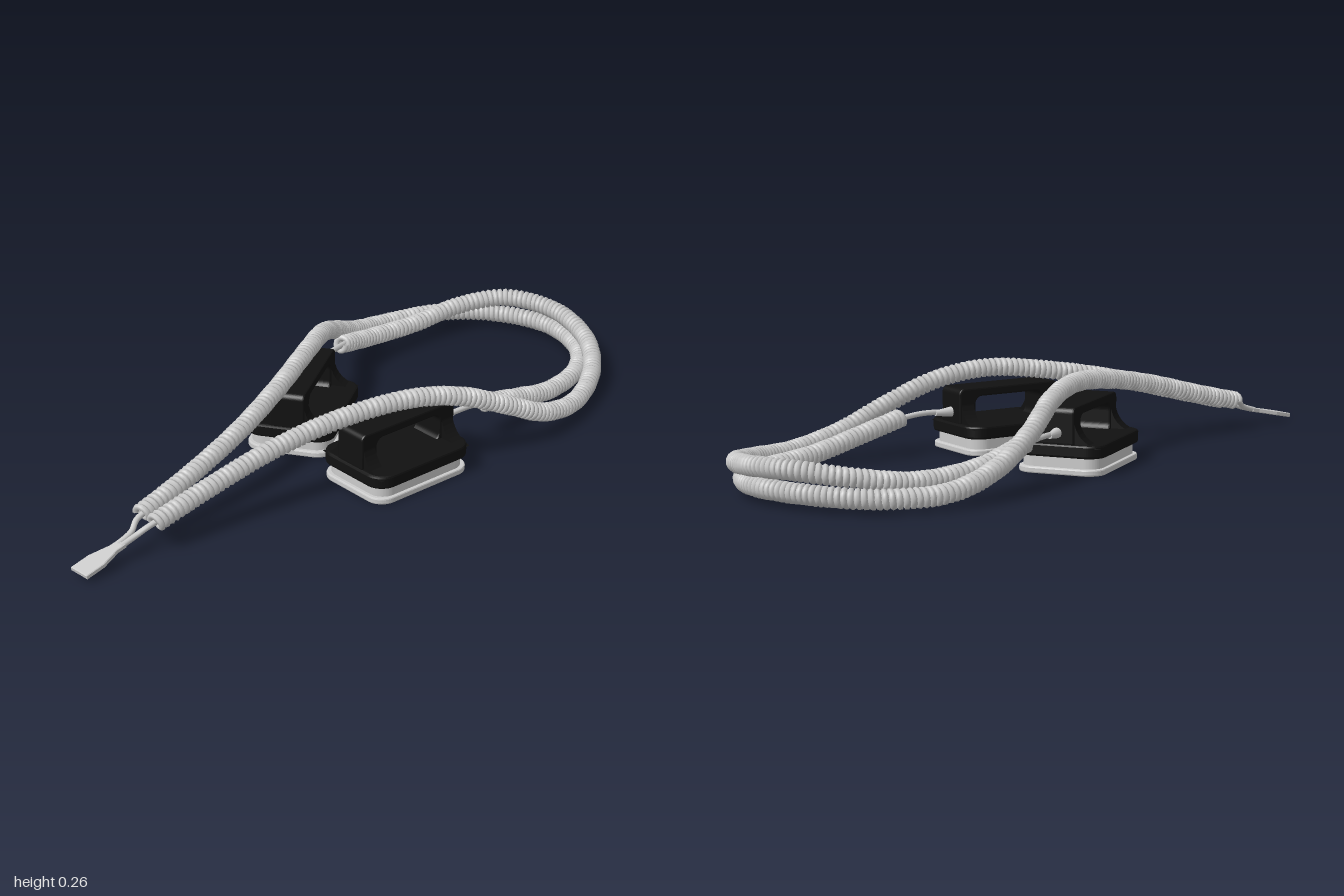
import * as THREE from 'three';

const grey = new THREE.MeshStandardMaterial({ color: 0xcccccc });
const greyThin = new THREE.MeshStandardMaterial({ color: 0xcccccc, side: THREE.DoubleSide });
const black = new THREE.MeshStandardMaterial({ color: 0x111111 });

function add(parent, name, geometry, material) {
  const mesh = new THREE.Mesh(geometry, material);
  mesh.name = name;
  parent.add(mesh);
  return mesh;
}

// Traces a rounded rectangle on a Shape or Path
function roundedRect(path, cx, cy, w, h, r) {
  const x = w / 2 - r, y = h / 2 - r;
  path.absarc(cx + x, cy + y, r, 0, Math.PI / 2);
  path.absarc(cx - x, cy + y, r, Math.PI / 2, Math.PI);
  path.absarc(cx - x, cy - y, r, Math.PI, Math.PI * 1.5);
  path.absarc(cx + x, cy - y, r, Math.PI * 1.5, Math.PI * 2);
  path.closePath();
  return path;
}

// Horizontal slab with rounded plan corners, from y0 to y1
function slab(w, d, r, y0, y1, bevel) {
  const geometry = new THREE.ExtrudeGeometry(
    roundedRect(new THREE.Shape(), 0, 0, w - 2 * bevel, d - 2 * bevel, r),
    { depth: y1 - y0 - 2 * bevel, bevelSize: bevel, bevelThickness: bevel, bevelSegments: 2, curveSegments: 8 });
  return geometry.rotateX(-Math.PI / 2).translate(0, y0 + bevel, 0);
}

function createPaddle(name, x, z, angle) {
  const paddle = new THREE.Group();
  paddle.name = name;
  add(paddle, 'contactPlate', slab(0.34, 0.25, 0.045, 0, 0.018, 0.004), grey);
  add(paddle, 'collar', slab(0.315, 0.23, 0.04, 0.014, 0.056, 0.003), grey);
  add(paddle, 'housing', slab(0.345, 0.255, 0.045, 0.048, 0.085, 0.006), black);

  // Grip: an upright frame with a hand opening
  const frame = roundedRect(new THREE.Shape(), 0, 0.128, 0.326, 0.104, 0.012);
  frame.holes.push(roundedRect(new THREE.Path(), 0, 0.12, 0.24, 0.09, 0.028));
  const grip = new THREE.ExtrudeGeometry(frame, {
    depth: 0.09, bevelSize: 0.005, bevelThickness: 0.005, bevelSegments: 2, curveSegments: 6 });
  add(paddle, 'grip', grip.translate(0, 0, -0.045), black);

  // Flared feet blend the two ends of the grip into the housing
  const flare = new THREE.Shape();
  flare.moveTo(-0.12, 0.075);
  flare.lineTo(0.12, 0.075);
  flare.quadraticCurveTo(0.055, 0.09, 0.048, 0.15);
  flare.lineTo(-0.048, 0.15);
  flare.quadraticCurveTo(-0.055, 0.09, -0.12, 0.075);
  for (const side of [-1, 1]) {
    const foot = new THREE.ExtrudeGeometry(flare, { depth: 0.04, bevelEnabled: false, curveSegments: 8 });
    foot.rotateY(Math.PI / 2).translate(side * 0.142 - 0.02, 0, 0);
    add(paddle, 'gripFoot', foot, black);
  }

  // Tapered strain relief where the cable enters
  const relief = new THREE.CylinderGeometry(0.008, 0.016, 0.06, 12);
  relief.rotateZ(-Math.PI / 2).translate(0.19, 0.115, 0);
  add(paddle, 'strainRelief', relief, grey);

  paddle.position.set(x, 0, z);
  paddle.rotation.y = angle;
  return paddle;
}

// Helix wound around a base curve
class CoilCurve extends THREE.Curve {
  constructor(base, radius, pitch) {
    super();
    base.arcLengthDivisions = 800;
    this.base = base;
    this.radius = radius;
    this.turns = Math.round(base.getLength() / pitch);
    this.steps = 400;
    this.frames = base.computeFrenetFrames(this.steps, false);
  }
  getPoint(t, target = new THREE.Vector3()) {
    const s = t * this.steps, i = Math.min(Math.floor(s), this.steps - 1), f = s - i;
    const { normals, binormals } = this.frames;
    const n = normals[i].clone().lerp(normals[i + 1], f);
    const b = binormals[i].clone().lerp(binormals[i + 1], f);
    const a = t * this.turns * Math.PI * 2;
    return target.copy(this.base.getPointAt(t))
      .addScaledVector(n, Math.cos(a) * this.radius)
      .addScaledVector(b, Math.sin(a) * this.radius);
  }
  getPointAt(t, target) { return this.getPoint(t, target); }
  getTangentAt(t, target) { return this.getTangent(t, target); }
}

const curveThrough = (points) =>
  new THREE.CatmullRomCurve3(points.map((p) => new THREE.Vector3(...p)), false, 'centripetal');

function createCord(name, path, plugLead, paddleLead) {
  const cord = new THREE.Group();
  cord.name = name;
  const coil = new CoilCurve(curveThrough(path), 0.0195, 0.0165);
  add(cord, 'coil', new THREE.TubeGeometry(coil, coil.turns * 14, 0.0088, 6), greyThin);
  add(cord, 'plugLead', new THREE.TubeGeometry(curveThrough(plugLead), 24, 0.008, 8), greyThin);
  add(cord, 'paddleLead', new THREE.TubeGeometry(curveThrough(paddleLead), 16, 0.008, 8), greyThin);
  return cord;
}

// Flat plug that tapers to the two leads
function createPlug() {
  const outline = new THREE.Shape();
  [[-0.07, -0.03], [-0.015, -0.03], [0.045, -0.014], [0.07, -0.014],
    [0.07, 0.014], [0.045, 0.014], [-0.015, 0.03], [-0.07, 0.03]]
    .forEach(([x, y], i) => (i ? outline.lineTo(x, y) : outline.moveTo(x, y)));
  const geometry = new THREE.ExtrudeGeometry(outline, {
    depth: 0.009, bevelSize: 0.002, bevelThickness: 0.002, bevelSegments: 1 });
  geometry.rotateX(-Math.PI / 2).translate(0, -0.0045, 0);
  const plug = new THREE.Mesh(geometry, grey);
  plug.name = 'plug';
  plug.position.set(-0.93, 0.031, 0.09);
  plug.rotation.z = 0.2;
  return plug;
}

export function createModel() {
  const model = new THREE.Group();
  model.name = 'coiledCordPaddles';
  model.add(createPaddle('leftPaddle', -0.025, 0.255, -0.07));
  model.add(createPaddle('rightPaddle', -0.02, -0.117, 0.53));
  model.add(createPlug());

  // Passes over the rear paddle and loops round to the front one
  model.add(createCord('rearCord', [
    [-0.77, 0.085, 0.06], [-0.6, 0.125, 0.05], [-0.4, 0.175, 0.025], [-0.2, 0.213, -0.035],
    [0, 0.232, -0.125], [0.15, 0.212, -0.215], [0.3, 0.145, -0.31], [0.45, 0.08, -0.37],
    [0.62, 0.042, -0.398], [0.78, 0.038, -0.35], [0.9, 0.042, -0.22], [0.955, 0.042, -0.03],
    [0.9, 0.036, 0.13], [0.78, 0.032, 0.225], [0.6, 0.042, 0.27], [0.45, 0.075, 0.28], [0.3, 0.112, 0.285],
  ], [[-0.74, 0.09, 0.06], [-0.79, 0.078, 0.066], [-0.82, 0.06, 0.08], [-0.87, 0.044, 0.083]],
  [[0.14, 0.115, 0.268], [0.24, 0.117, 0.278], [0.34, 0.104, 0.285]]));

  // Passes over the front paddle and loops round to the rear one
  model.add(createCord('frontCord', [
    [-0.77, 0.08, 0.115], [-0.6, 0.122, 0.13], [-0.4, 0.172, 0.16], [-0.2, 0.21, 0.21],
    [0, 0.228, 0.285], [0.15, 0.2, 0.335], [0.3, 0.135, 0.375], [0.43, 0.075, 0.394],
    [0.6, 0.042, 0.37], [0.78, 0.052, 0.285], [0.91, 0.075, 0.15], [0.963, 0.095, -0.02],
    [0.92, 0.1, -0.18], [0.8, 0.08, -0.272], [0.65, 0.06, -0.303], [0.45, 0.075, -0.305], [0.28, 0.115, -0.27],
  ], [[-0.74, 0.086, 0.116], [-0.79, 0.074, 0.11], [-0.82, 0.058, 0.1], [-0.87, 0.044, 0.097]],
  [[0.13, 0.115, -0.205], [0.21, 0.118, -0.245], [0.31, 0.108, -0.278]]));
  return model;
}
